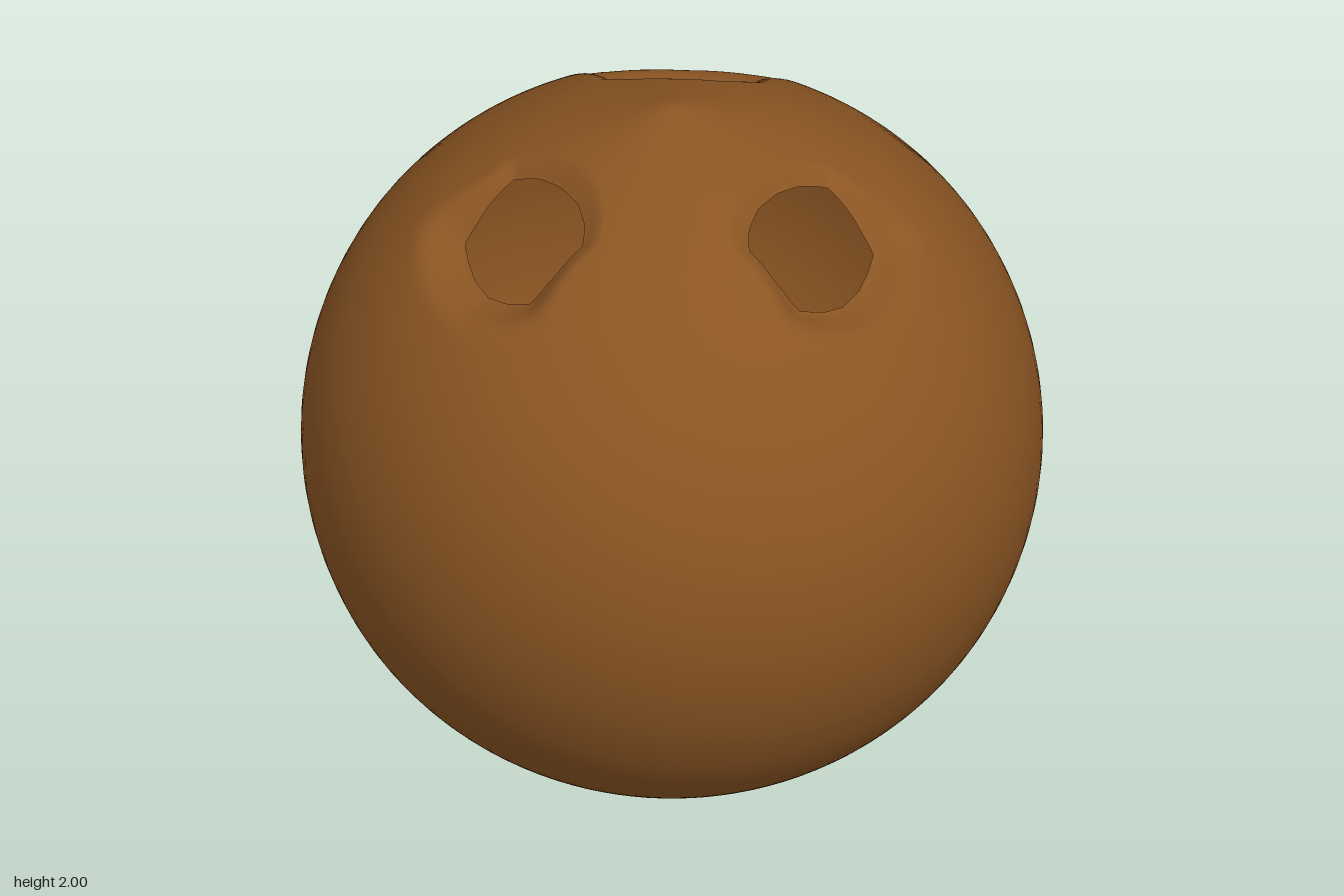
import * as THREE from 'three';
import { mergeGeometries, mergeVertices } from 'three/addons/utils/BufferGeometryUtils.js';

const RADIUS = 0.925, CAP = 0.78, SECTOR_STEPS = 32, RAY_STEPS = 24, RINGS = 32;
const { smoothstep, lerp } = THREE.MathUtils;

// Departure from a sphere at r = 0, 0.1 ... 1.0: pointed pole, slightly flat around it
const pinch = new THREE.SplineCurve(
  [0.075, 0.044, 0.019, 0.004, -0.004, -0.008, -0.006, -0.003, 0, 0, 0]
    .map((d, i) => new THREE.Vector2(i / 10, d)));
const profile = (r) =>
  1 + Math.sqrt(Math.max(0, RADIUS * RADIUS - r * r)) + pinch.getPoint(r).y;

// Hole outlines seen from above as [x, z]
const sideHole = [[0.39, 0.06], [0.325, 0.095], [0.27, 0.149], [0.225, 0.215], [0.205, 0.282],
  [0.208, 0.337], [0.27, 0.382], [0.334, 0.411], [0.395, 0.378], [0.443, 0.337],
  [0.478, 0.275], [0.497, 0.213], [0.51, 0.146], [0.455, 0.098]];
const backHole = [[-0.168, -0.507], [-0.09, -0.545], [0, -0.56], [0.09, -0.545], [0.165, -0.512],
  [0.172, -0.44], [0.165, -0.36], [0.09, -0.308], [0, -0.293], [-0.09, -0.305], [-0.15, -0.34], [-0.172, -0.42]];
const eyes = [
  { turn: Math.PI / 6, centre: [0.36, 0.235], outline: sideHole },
  { turn: Math.PI * 5 / 6, centre: [-0.36, 0.235], outline: sideHole.map(([x, z]) => [-x, z]) },
  { turn: -Math.PI / 2, centre: [0, -0.43], outline: backHole },
];

// Hole radius in a given direction from its centre, along straight outline edges
function holeRadius({ centre, outline }) {
  const polar = outline.map(([x, z]) => {
    const dx = x - centre[0], dz = z - centre[1];
    return [Math.atan2(dz, dx), Math.hypot(dx, dz)];
  }).sort((a, b) => a[0] - b[0]);
  const first = polar[0], last = polar[polar.length - 1];
  polar.unshift([last[0] - 2 * Math.PI, last[1]]);
  polar.push([first[0] + 2 * Math.PI, first[1]]);
  return (angle) => {
    const k = Math.max(1, polar.findIndex((p) => p[0] >= angle));
    const [a0, r0] = polar[k - 1], [a1, r1] = polar[k];
    return r0 * r1 * Math.sin(a1 - a0) / (r0 * Math.sin(angle - a0) + r1 * Math.sin(a1 - angle));
  };
}

// Sinking of the shell at a distance from the rim: deeper and wider on the outer side
function dent(gap, outward) {
  const depth = 0.04 + 0.062 * smoothstep(outward, -0.06, 0.13);
  const width = 0.055 + 0.095 * smoothstep(outward, -0.03, 0.18);
  return depth * (1 - smoothstep(gap, -0.02, width));
}

// One third of the upper cap: rings growing from the hole to the sector border
function capSector(eye) {
  const start = eye.turn - Math.PI / 3, end = eye.turn + Math.PI / 3;
  const at = (r, a) => [r * Math.cos(a), r * Math.sin(a)];
  const border = [];
  for (let i = 0; i < RAY_STEPS; i++) border.push(at(CAP * i / RAY_STEPS, start));
  for (let i = 0; i < SECTOR_STEPS; i++)
    border.push(at(CAP, start + (end - start) * i / SECTOR_STEPS));
  for (let i = RAY_STEPS; i > 0; i--) border.push(at(CAP * i / RAY_STEPS, end));

  const n = border.length, radius = holeRadius(eye), [cx, cz] = eye.centre;
  const positions = [], index = [];
  for (let j = 0; j <= RINGS; j++) {
    const t = (j / RINGS) ** 1.3;
    for (const [bx, bz] of border) {
      const angle = Math.atan2(bz - cz, bx - cx), rim = radius(angle);
      const r = lerp(rim, Math.hypot(bx - cx, bz - cz), t);
      const x = cx + r * Math.cos(angle), z = cz + r * Math.sin(angle);
      const sink = dent(r - rim, r * Math.cos(angle - eye.turn));
      positions.push(x, profile(Math.hypot(x, z)) - sink, z);
    }
  }
  for (let j = 0; j < RINGS; j++) {
    for (let i = 0; i < n; i++) {
      const a = j * n + i, b = j * n + (i + 1) % n;
      index.push(a, b, a + n, b, b + n, a + n);
    }
  }
  const geometry = new THREE.BufferGeometry();
  geometry.setAttribute('position', new THREE.Float32BufferAttribute(positions, 3));
  geometry.setIndex(index);
  return geometry;
}

// Round body from the lower point up to the cap border
function lowerShell() {
  const top = Math.PI - Math.asin(CAP / RADIUS), steps = 72, points = [];
  for (let i = 0; i <= steps; i++) {
    const a = top * i / steps, r = i === steps ? CAP : RADIUS * Math.sin(a);
    points.push(new THREE.Vector2(r, a < Math.PI / 2 ? 2 - profile(r) : profile(r)));
  }
  const geometry = new THREE.LatheGeometry(points, SECTOR_STEPS * 3);
  geometry.deleteAttribute('normal');
  geometry.deleteAttribute('uv');
  return geometry;
}

export function createModel() {
  const group = new THREE.Group();
  group.name = 'coconut';
  const brown = new THREE.MeshStandardMaterial({ color: 0x8b5523, side: THREE.DoubleSide });
  brown.name = 'coconut brown';

  // Hollow shell welded into one smooth skin
  const geometry = mergeVertices(mergeGeometries([lowerShell(), ...eyes.map(capSector)]), 1e-4);
  geometry.computeVertexNormals();
  const shell = new THREE.Mesh(geometry, brown);
  shell.name = 'shell';
  group.add(shell);
  return group;
}
